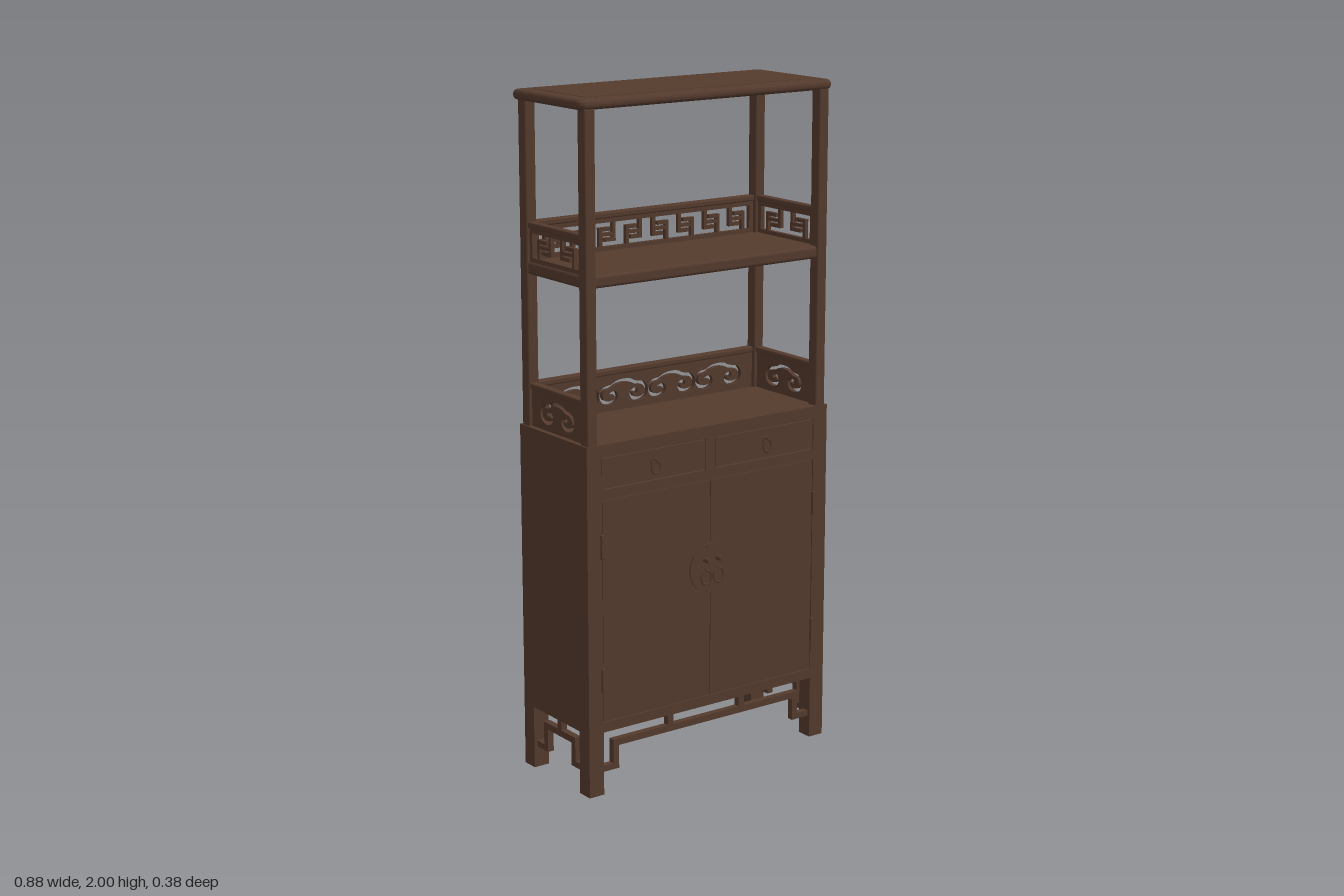
import * as THREE from 'three';
import { RoundedBoxGeometry } from 'three/addons/geometries/RoundedBoxGeometry.js';

const wood = new THREE.MeshStandardMaterial({ color: 0x543a2d });
wood.name = 'darkWood';

const ZF = 0.16, ZB = -0.18, ZC = -0.01; // front, back and middle of the depth

function add(parent, name, geo, x = 0, y = 0, z = 0) {
  const m = new THREE.Mesh(geo, wood);
  m.name = name;
  m.position.set(x, y, z);
  parent.add(m);
  return m;
}

// Box given by its limits on each axis, with optional rounded edges
function box(parent, name, x0, x1, y0, y1, z0, z1, r = 0) {
  const w = x1 - x0, h = y1 - y0, d = z1 - z0;
  const geo = r ? new RoundedBoxGeometry(w, h, d, 2, r) : new THREE.BoxGeometry(w, h, d);
  return add(parent, name, geo, (x0 + x1) / 2, (y0 + y1) / 2, (z0 + z1) / 2);
}

function group(parent, name) {
  const g = new THREE.Group();
  g.name = name;
  parent.add(g);
  return g;
}

function rect(w, h, Type = THREE.Shape) {
  const s = new Type();
  s.moveTo(-w / 2, -h / 2);
  s.lineTo(w / 2, -h / 2);
  s.lineTo(w / 2, h / 2);
  s.lineTo(-w / 2, h / 2);
  s.closePath();
  return s;
}

// Constant-width slot following a curve, as a closed hole
function slot(curve, width, dx) {
  const n = 64, a = [], b = [];
  for (let i = 0; i <= n; i++) {
    const p = curve.getPoint(i / n), t = curve.getTangent(i / n);
    const ox = -t.y * width / 2, oy = t.x * width / 2;
    a.push(new THREE.Vector2(p.x + ox + dx, p.y + oy));
    b.push(new THREE.Vector2(p.x - ox + dx, p.y - oy));
  }
  return new THREE.Path(a.concat(b.reverse()));
}

// Cloud scroll: left half, mirrored to the right
const half = [[-0.05, -0.006], [-0.036, 0], [-0.026, -0.011], [-0.034, -0.025], [-0.056, -0.029],
  [-0.076, -0.02], [-0.081, -0.001], [-0.069, 0.016], [-0.046, 0.02], [-0.027, 0.029]];
const cloud = new THREE.CatmullRomCurve3([...half, [0, 0.033],
  ...half.map(([x, y]) => [-x, y]).reverse()].map(([x, y]) => new THREE.Vector3(x, y, 0)));

// Pierced cloud panel with a rail on top
function cloudPanel(parent, width, count) {
  const g = group(parent, 'cloudGallery');
  const s = rect(width, 0.11);
  for (let i = 0; i < count; i++) s.holes.push(slot(cloud, 0.011, (i - (count - 1) / 2) * 0.174));
  add(g, 'cloudPanel', new THREE.ExtrudeGeometry(s, { depth: 0.014, bevelEnabled: false }), 0, 0.055, -0.007);
  box(g, 'galleryRail', -width / 2, width / 2, 0.11, 0.128, -0.013, 0.013, 0.005);
  return g;
}

// Open key-fret panel: frame with interlocking hooked bars
function fretPanel(parent, width, count) {
  const g = group(parent, 'fretGallery');
  const inner = width - 0.03, y0 = 0.014, y1 = 0.084, t = 0.011, u = inner / count;
  const s = rect(width, 0.1);
  const hole = rect(inner, y1 - y0, THREE.Path);
  s.holes.push(hole);
  add(g, 'fretFrame', new THREE.ExtrudeGeometry(s, { depth: 0.014, bevelEnabled: false }), 0, 0.049, -0.007);
  box(g, 'galleryRail', -width / 2, width / 2, 0.097, 0.115, -0.013, 0.013, 0.005);
  const bar = (xa, xb, ya, yb) => box(g, 'fretBar', xa, xb, ya, yb, -0.006, 0.006);
  for (let i = 0; i < count; i++) {
    const x = -inner / 2 + (i + 0.5) * u, k = i < count / 2 ? 1 : -1;
    const hook = (c, up) => {
      const m = (y) => (up ? y : y0 + y1 - y);
      const seg = (xa, xb, ya, yb) => bar(Math.min(xa, xb), Math.max(xa, xb), Math.min(m(ya), m(yb)), Math.max(m(ya), m(yb)));
      const e = k * (up ? 1 : -1);
      seg(c - t / 2, c + t / 2, y0, y1 - 0.014);
      seg(c - e * t / 2, c + e * u * 0.36, y1 - 0.025, y1 - 0.014);
    };
    hook(x - k * u * 0.25, true);
    hook(x + k * u * 0.25, false);
    bar(x - u * 0.24, x + u * 0.24, (y0 + y1) / 2 - 0.005, (y0 + y1) / 2 + 0.005);
  }
  return g;
}

// Back panel plus one at each side
function gallery(parent, make, y, backCount, sideCount) {
  make(parent, 0.78, backCount).position.set(0, y, -0.157);
  for (const s of [-1, 1]) {
    const g = make(parent, 0.262, sideCount);
    g.position.set(s * 0.407, y, ZC);
    g.rotation.y = s * Math.PI / 2;
  }
}

// Stepped apron under the body, in its own plane, between legs at +-w
function apron(parent, w, struts) {
  const g = group(parent, 'apron');
  const t = 0.01, a = w - 0.04;
  box(g, 'apronBar', -a, a, 0.135, 0.155, -t, t);
  for (const s of [-1, 1]) {
    const span = (n, p, q, y0, y1) => box(g, n, Math.min(s * p, s * q), Math.max(s * p, s * q), y0, y1, -t, t);
    span('apronDrop', a - 0.02, a, 0.065, 0.135);
    span('apronFoot', a, w + 0.005, 0.065, 0.083);
  }
  for (const x of struts) box(g, 'apronStrut', x - 0.01, x + 0.01, 0.155, 0.192, -t, t);
  return g;
}

function ring(parent, name, x, y, z, r) {
  add(parent, name, new THREE.TorusGeometry(r, 0.003, 6, 20), x, y, z).scale.y = 1.2;
}

function disc(parent, name, x, y, z0, z1, r, seg = 24) {
  add(parent, name, new THREE.CylinderGeometry(r, r, z1 - z0, seg), x, y, (z0 + z1) / 2).rotation.x = Math.PI / 2;
}

export function createModel() {
  const root = new THREE.Group();
  root.name = 'displayCabinet';

  // Cabinet body with flush face frame
  const body = group(root, 'cabinet');
  box(body, 'carcass', -0.43, 0.43, 0.19, 1.04, ZB, 0.15);
  for (const s of [-1, 1]) {
    const x0 = s < 0 ? -0.43 : 0.38;
    box(body, 'faceStile', x0, x0 + 0.05, 0.19, 1.04, 0.15, ZF);
    for (const z of [ZB, ZF - 0.05]) box(body, 'leg', x0, x0 + 0.05, 0, 0.19, z, z + 0.05);
  }
  for (const [y0, y1] of [[0.19, 0.22], [0.88, 0.91], [1.003, 1.04]]) box(body, 'faceRail', -0.38, 0.38, y0, y1, 0.15, ZF);
  box(body, 'drawerDivider', -0.017, 0.017, 0.91, 1.003, 0.15, ZF);

  // Drawers, doors and their fittings
  for (const s of [-1, 1]) {
    const span = (n, a, b, y0, y1) => box(body, n, Math.min(s * a, s * b), Math.max(s * a, s * b), y0, y1, 0.15, ZF - 0.001);
    span('drawerFront', 0.019, 0.378, 0.913, 1);
    span('door', 0.001, 0.378, 0.222, 0.878);
    disc(body, 'drawerPullPlate', s * 0.2, 0.965, ZF - 0.002, 0.163, 0.012);
    disc(body, 'drawerPullPin', s * 0.2, 0.972, ZF, 0.175, 0.004, 10);
    ring(body, 'drawerPullRing', s * 0.2, 0.95, 0.169, 0.015);
    for (const y of [0.745, 0.348]) box(body, 'hinge', s * 0.381 - 0.006, s * 0.381 + 0.006, y - 0.036, y + 0.036, ZF - 0.002, 0.167, 0.003);
    disc(body, 'doorKnob', s * 0.022, 0.642, ZF, 0.187, 0.007, 12);
    disc(body, 'doorPullPin', s * 0.022, 0.612, ZF, 0.176, 0.004, 10);
    ring(body, 'doorPullRing', s * 0.022, 0.59, 0.17, 0.018);
    for (const y of [0.68, 0.545]) disc(body, 'plateStud', s * 0.014, y, ZF, 0.166, 0.004, 10);
  }
  disc(body, 'lockPlate', 0, 0.615, ZF - 0.002, 0.163, 0.075, 40);

  // Aprons at the front and sides
  apron(root, 0.38, [-0.135, 0.125]).position.z = 0.14;
  for (const s of [-1, 1]) {
    const g = apron(root, 0.122, [0]);
    g.position.set(s * 0.41, 0, ZC);
    g.rotation.y = Math.PI / 2;
  }

  // Open shelves above
  const rack = group(root, 'openShelves');
  for (const x of [-0.407, 0.407]) for (const z of [0.138, -0.157])
    box(rack, 'post', x - 0.018, x + 0.018, 1.035, 1.975, z - 0.018, z + 0.018, 0.006);
  box(rack, 'middleShelf', -0.42, 0.42, 1.48, 1.517, -0.17, 0.151, 0.01);
  gallery(rack, cloudPanel, 1.038, 4, 1);
  gallery(rack, fretPanel, 1.515, 8, 2);

  // Top board with bullnose edge and inset panel
  const b = 0.013, w = 0.44 - b, d = 0.175 - b, r = 0.012;
  const s = new THREE.Shape();
  s.absarc(w - r, d - r, r, 0, Math.PI / 2);
  s.absarc(-w + r, d - r, r, Math.PI / 2, Math.PI);
  s.absarc(-w + r, -d + r, r, Math.PI, Math.PI * 1.5);
  s.absarc(w - r, -d + r, r, Math.PI * 1.5, Math.PI * 2);
  const slab = new THREE.ExtrudeGeometry(s, { depth: 0.003, bevelSize: b, bevelThickness: b, bevelSegments: 4, curveSegments: 6 });
  slab.rotateX(-Math.PI / 2);
  add(root, 'topBoard', slab, 0, 1.983, -0.015);
  box(root, 'topPanel', -0.39, 0.39, 1.99, 2, -0.14, 0.107);
  return root;
}
